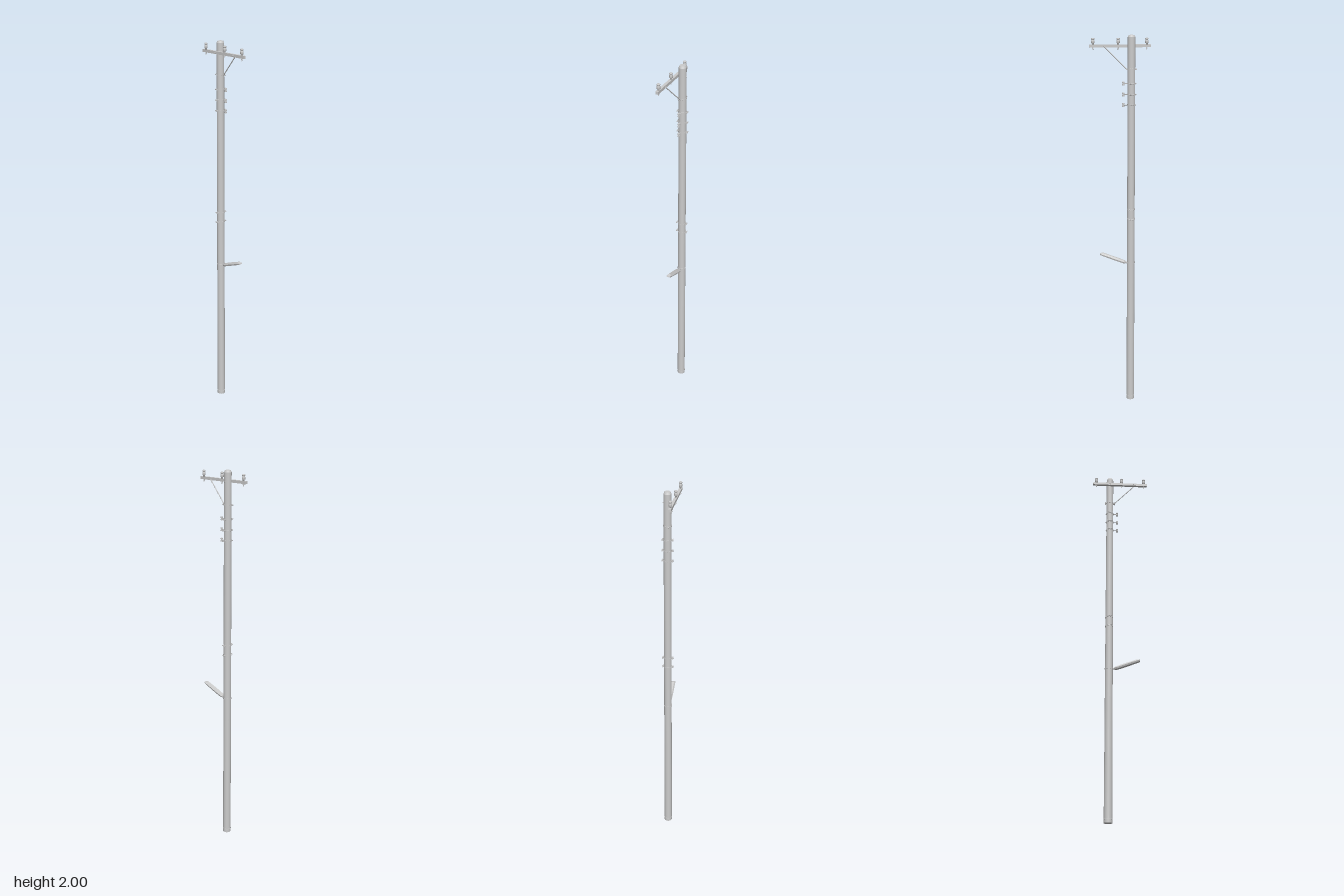
import * as THREE from 'three';

const grey = new THREE.MeshStandardMaterial({ color: 0xcccccc });
const flat = new THREE.MeshStandardMaterial({ color: 0xcccccc, flatShading: true, side: THREE.DoubleSide });
const PX = 0.004, PZ = -0.059; // pole axis
const radiusAt = (y) => 0.0212 - 0.0011 * y;

function add(parent, name, geometry, x = 0, y = 0, z = 0, material = grey) {
  const mesh = new THREE.Mesh(geometry, material);
  mesh.name = name;
  mesh.position.set(x, y, z);
  parent.add(mesh);
  return mesh;
}

// round rod between two points
function rod(parent, name, a, b, r, sides = 8) {
  const from = new THREE.Vector3(...a), to = new THREE.Vector3(...b);
  const dir = to.clone().sub(from);
  const mesh = add(parent, name, new THREE.CylinderGeometry(r, r, dir.length(), sides));
  mesh.position.copy(from).add(to).multiplyScalar(0.5);
  mesh.quaternion.setFromUnitVectors(new THREE.Vector3(0, 1, 0), dir.normalize());
  return mesh;
}

// two-part band with clamping lugs and bolts on opposite sides
function clamp(y, turn) {
  const g = new THREE.Group();
  g.name = 'clampBand';
  const r = radiusAt(y) + 0.0016;
  add(g, 'band', new THREE.CylinderGeometry(r, r, 0.007, 24));
  for (const s of [-1, 1]) {
    for (const t of [-1, 1]) {
      add(g, 'lug', new THREE.BoxGeometry(0.009, 0.007, 0.002), s * (r + 0.003), 0, t * 0.0035);
      rod(g, 'boltHead', [s * (r + 0.0045), 0, t * 0.0085], [s * (r + 0.0045), 0, t * 0.011], 0.003, 6);
    }
    rod(g, 'clampBolt', [s * (r + 0.0045), 0, -0.013], [s * (r + 0.0045), 0, 0.013], 0.0014);
  }
  g.position.set(PX, y, PZ);
  g.rotation.y = turn;
  return g;
}

// pin insulator standing on the crossarm
function insulator(z) {
  const g = new THREE.Group();
  g.name = 'pinInsulator';
  const profile = [[0, 0], [0.005, 0], [0.005, 0.006], [0.0085, 0.009], [0.0085, 0.02],
    [0.006, 0.022], [0.006, 0.025], [0.0085, 0.027], [0.0085, 0.031], [0.006, 0.033], [0, 0.033]];
  add(g, 'insulatorBody', new THREE.LatheGeometry(profile.map(p => new THREE.Vector2(...p)), 16));
  rod(g, 'pin', [0, 0, 0], [0, -0.026, 0], 0.002);
  rod(g, 'pinNut', [0, -0.015, 0], [0, -0.019, 0], 0.004, 6);
  g.position.set(-0.024, 1.951, z);
  return g;
}

// street lamp: six-sided sections lofted along its length
function lampGeometry() {
  // position, half width, top half width, underside, top
  const sections = [[0, 0.006, 0.004, -0.007, 0.006], [0.012, 0.0125, 0.007, -0.008, 0.007],
    [0.05, 0.0135, 0.008, -0.008, 0.008], [0.132, 0.0125, 0.006, -0.007, 0.008], [0.144, 0.011, 0.006, -0.006, 0.001]];
  const pos = [], index = [];
  for (const [z, w, t, low, high] of sections) {
    pos.push(-w, 0, z, -t, high, z, t, high, z, w, 0, z, w * 0.8, low, z, -w * 0.8, low, z);
  }
  const n = 6, last = (sections.length - 1) * n;
  for (let i = 0; i < last; i += n) {
    for (let j = 0; j < n; j++) {
      const a = i + j, b = i + (j + 1) % n;
      index.push(a, a + n, b, b, a + n, b + n);
    }
  }
  for (let j = 1; j < n - 1; j++) index.push(0, j, j + 1, last, last + j + 1, last + j);
  const geo = new THREE.BufferGeometry();
  geo.setAttribute('position', new THREE.Float32BufferAttribute(pos, 3));
  geo.setIndex(index);
  geo.computeVertexNormals();
  return geo;
}

export function createModel() {
  const model = new THREE.Group();
  model.name = 'utilityPole';

  // tapered pole with a bevelled top and a collar at the foot
  const rTop = radiusAt(1.99);
  add(model, 'pole', new THREE.CylinderGeometry(rTop, radiusAt(0), 1.99, 24), PX, 0.995, PZ);
  add(model, 'poleTop', new THREE.CylinderGeometry(0.0145, rTop, 0.01, 24), PX, 1.995, PZ);
  add(model, 'footCollar', new THREE.CylinderGeometry(0.0222, 0.0225, 0.005, 24), PX, 0.019, PZ);

  // crossarm, bolts and insulators
  add(model, 'crossarm', new THREE.BoxGeometry(0.014, 0.014, 0.309), -0.024, 1.945, -0.0025);
  for (const [z, end] of [[PZ, 0.027], [0.077, -0.012]]) {
    rod(model, 'armBolt', [-0.038, 1.945, z], [end, 1.945, z], 0.002);
    rod(model, 'armBoltHead', [-0.031, 1.945, z], [-0.034, 1.945, z], 0.004, 6);
  }
  for (const z of [-0.1375, 0.007, 0.134]) model.add(insulator(z));

  // diagonal brace from the arm down to its clamp
  rod(model, 'brace', [-0.015, 1.944, 0.079], [PX, 1.832, -0.035], 0.0025);
  model.add(clamp(1.832, Math.PI / 2));

  // upper clamps, each carrying a spool insulator at the front
  for (const y of [1.76, 1.705, 1.652]) {
    model.add(clamp(y, 0));
    const front = PZ + radiusAt(y);
    rod(model, 'spoolStem', [PX, y, front - 0.002], [PX, y, -0.018], 0.002);
    for (const [dy, r] of [[-0.006, 0.006], [0, 0.004], [0.006, 0.006]]) {
      add(model, 'spoolInsulator', new THREE.CylinderGeometry(r, r, 0.006, 12), PX, y + dy, -0.018);
    }
    rod(model, 'rearBolt', [PX, y, PZ - 0.015], [PX, y, PZ - 0.025], 0.0025, 6);
  }

  // middle clamps
  for (const y of [1.103, 1.05]) model.add(clamp(y, 0));

  // street lamp on its band
  add(model, 'lampBand', new THREE.CylinderGeometry(0.0218, 0.0218, 0.008, 24), PX, 0.805, PZ);
  rod(model, 'lampMount', [PX, 0.804, PZ + 0.015], [PX, 0.811, -0.022], 0.005, 12);
  const lamp = add(model, 'lampHead', lampGeometry(), PX, 0.807, -0.032, flat);
  lamp.rotation.x = -0.36;
  return model;
}
